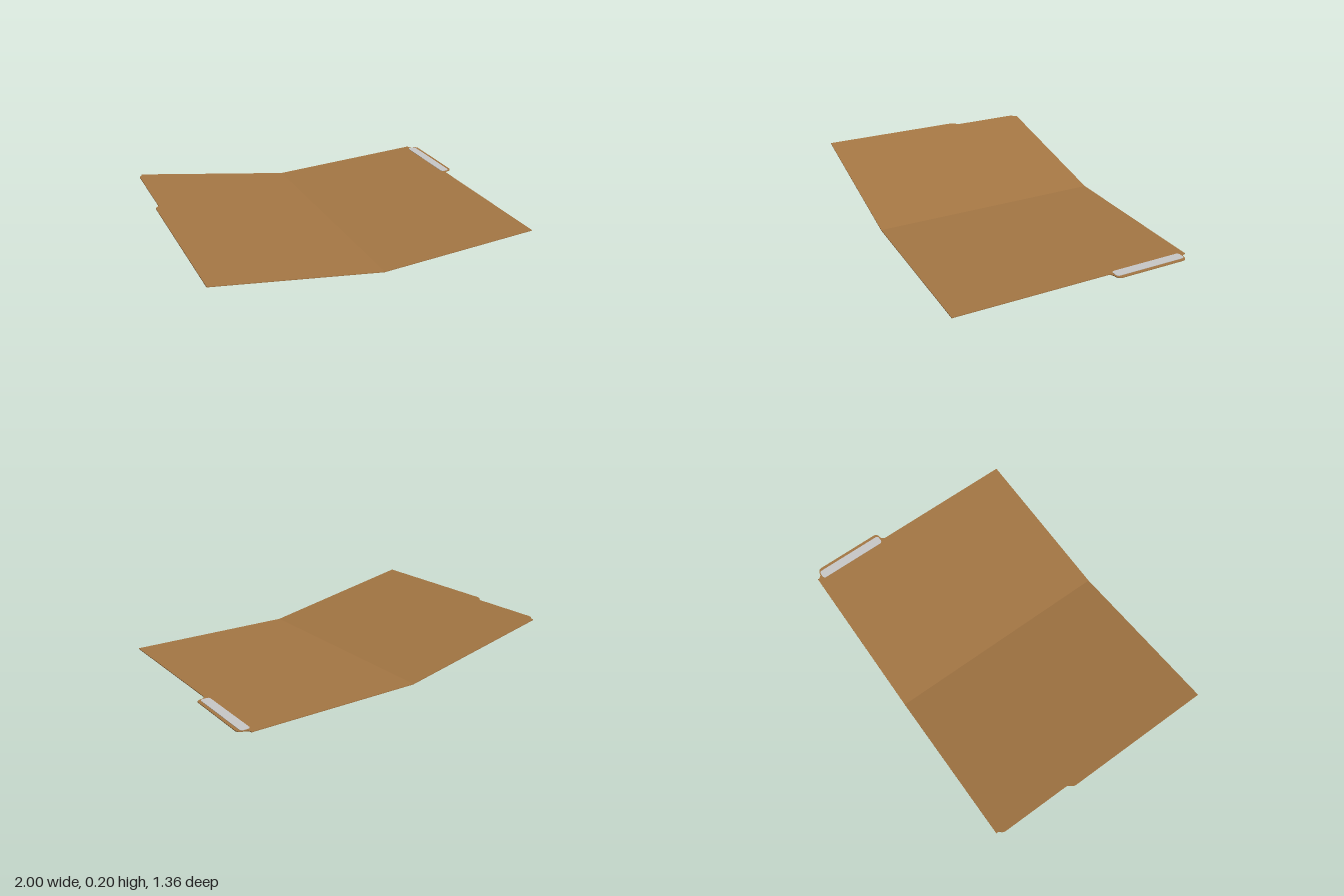
import * as THREE from 'three';

const THICK = 0.004;
const FOLD_X = -0.037;
const TILT = 0.2;

// Flat sheet cut from an outline drawn with x right and y towards the back
function sheet(shape, depth, material, name) {
  const geometry = new THREE.ExtrudeGeometry(shape, { depth, bevelEnabled: false, curveSegments: 8 });
  geometry.rotateX(-Math.PI / 2);
  const mesh = new THREE.Mesh(geometry, material);
  mesh.name = name;
  return mesh;
}

export function createModel() {
  const card = new THREE.MeshStandardMaterial({ color: 0xa57744 });
  card.name = 'brown card';
  const paper = new THREE.MeshStandardMaterial({ color: 0xc8c8c8 });
  paper.name = 'label paper';

  const model = new THREE.Group();
  model.name = 'folder';

  // Flat back leaf with the index tab on its outer edge
  const back = new THREE.Shape();
  back.moveTo(FOLD_X, -0.68);
  back.lineTo(0.945, -0.68);
  back.lineTo(0.945, 0.185);
  back.quadraticCurveTo(0.948, 0.205, 0.968, 0.21);
  back.quadraticCurveTo(0.997, 0.213, 1, 0.235);
  back.lineTo(1, 0.625);
  back.quadraticCurveTo(0.997, 0.647, 0.97, 0.651);
  back.quadraticCurveTo(0.947, 0.656, 0.945, 0.68);
  back.lineTo(FOLD_X, 0.68);
  model.add(sheet(back, THICK, card, 'backLeaf'));

  // Raised front leaf, its outer edge cut back beside the tab
  const front = new THREE.Shape();
  front.moveTo(0, -0.68);
  front.lineTo(0, 0.68);
  front.lineTo(-0.937, 0.68);
  front.quadraticCurveTo(-0.938, 0.66, -0.948, 0.655);
  front.quadraticCurveTo(-0.957, 0.65, -0.958, 0.625);
  front.lineTo(-0.958, 0.235);
  front.quadraticCurveTo(-0.959, 0.22, -0.97, 0.21);
  front.quadraticCurveTo(-0.982, 0.2, -0.983, 0.18);
  front.lineTo(-0.983, -0.68);
  const frontLeaf = sheet(front, THICK, card, 'frontLeaf');
  frontLeaf.position.x = FOLD_X;
  frontLeaf.rotation.z = -TILT;
  model.add(frontLeaf);

  // Rounded paper label on the tab
  const [x0, x1, y0, y1, r] = [0.929, 0.982, 0.218, 0.646, 0.018];
  const label = new THREE.Shape();
  label.moveTo(x0 + r, y0);
  label.lineTo(x1 - r, y0);
  label.quadraticCurveTo(x1, y0, x1, y0 + r);
  label.lineTo(x1, y1 - r);
  label.quadraticCurveTo(x1, y1, x1 - r, y1);
  label.lineTo(x0 + r, y1);
  label.quadraticCurveTo(x0, y1, x0, y1 - r);
  label.lineTo(x0, y0 + r);
  label.quadraticCurveTo(x0, y0, x0 + r, y0);
  const tabLabel = sheet(label, 0.002, paper, 'tabLabel');
  tabLabel.position.y = THICK;
  model.add(tabLabel);

  return model;
}
